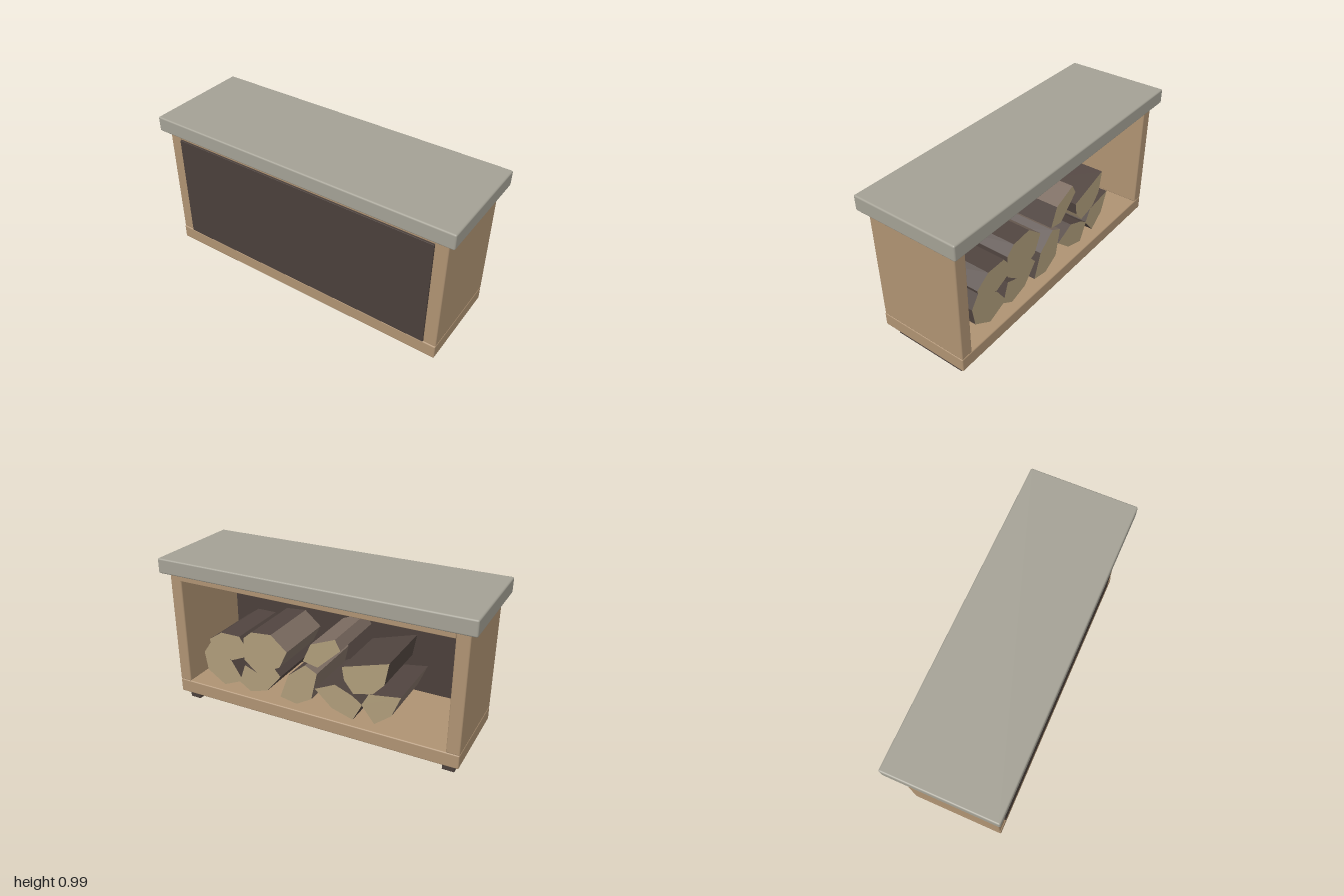
import * as THREE from 'three';
import { RoundedBoxGeometry } from 'three/addons/geometries/RoundedBoxGeometry.js';

const mat = (name, color) => Object.assign(new THREE.MeshStandardMaterial({ color }), { name });

export function createModel() {
  const stone = mat('grey stone', 0xa3a094);
  const wood = mat('oak wood', 0xae9272);
  const dark = mat('dark brown panel', 0x4a3f3a);
  const logEnd = mat('sawn log end', 0xae9c7a);
  const split = mat('pale split wood', 0xbba585);
  const brown = mat('brown split wood', 0x7c6c61);
  const bark = mat('bark', 0x50443f);

  const model = new THREE.Group();
  model.name = 'firewoodBench';

  // Softly rounded board given by its min and max corners
  const board = (name, material, x0, x1, y0, y1, z0, z1, r = 0.006) => {
    const mesh = new THREE.Mesh(new RoundedBoxGeometry(x1 - x0, y1 - y0, z1 - z0, 2, r), material);
    mesh.position.set((x0 + x1) / 2, (y0 + y1) / 2, (z0 + z1) / 2);
    mesh.name = name;
    model.add(mesh);
  };

  // Bench body, open at the back
  board('seatTop', stone, -1, 1, 0.897, 0.993, -0.342, 0.342, 0.01);
  board('basePlank', wood, -0.955, 0.955, 0.06, 0.15, -0.292, 0.305, 0.008);
  board('ceilingPlank', wood, -0.877, 0.877, 0.85, 0.9, -0.299, 0.295, 0.004);
  board('frontPanel', dark, -0.876, 0.876, 0.148, 0.85, 0.28, 0.305, 0.002);
  board('leftSide', wood, 0.875, 0.955, 0.149, 0.9, -0.292, 0.3, 0.008);
  board('rightSide', wood, -0.955, -0.875, 0.149, 0.9, -0.292, 0.3, 0.008);
  board('leftFoot', dark, 0.847, 0.922, 0, 0.065, -0.246, 0.24, 0.003);
  board('rightFoot', dark, -0.922, -0.847, 0, 0.065, -0.246, 0.24, 0.003);

  // Split logs: cross-section, then one letter per side (l pale, g brown, d bark)
  const logs = [
    [[[0.79, 0.357], [0.73, 0.444], [0.58, 0.34], [0.5, 0.217], [0.645, 0.155], [0.77, 0.235]], 'dddddd'],
    [[[0.74, 0.46], [0.645, 0.525], [0.51, 0.526], [0.465, 0.46], [0.48, 0.39], [0.58, 0.345], [0.73, 0.42]], 'llddddd'],
    [[[0.48, 0.523], [0.42, 0.575], [0.28, 0.588], [0.17, 0.496], [0.225, 0.38], [0.385, 0.295], [0.48, 0.373]], 'ddggddd'],
    [[[0.525, 0.206], [0.48, 0.335], [0.385, 0.3], [0.265, 0.367], [0.22, 0.316], [0.32, 0.194], [0.445, 0.155]], 'ddddddd'],
    [[[0.06, 0.465], [0.005, 0.588], [-0.155, 0.653], [-0.19, 0.588], [-0.04, 0.445]], 'dggdd'],
    [[[0.225, 0.176], [0.165, 0.34], [0.045, 0.44], [-0.035, 0.4], [0.005, 0.217], [0.11, 0.155]], 'dggddd'],
    [[[-0.2, 0.49], [-0.495, 0.58], [-0.47, 0.437], [-0.4, 0.36], [-0.275, 0.33], [-0.215, 0.406]], 'lddddd'],
    [[[-0.02, 0.296], [-0.155, 0.36], [-0.27, 0.315], [-0.335, 0.27], [-0.275, 0.152], [-0.135, 0.194]], 'dddddd'],
    [[[-0.33, 0.27], [-0.375, 0.352], [-0.575, 0.384], [-0.52, 0.247], [-0.415, 0.163]], 'dgddd'],
  ];
  const pile = new THREE.Group();
  pile.name = 'logPile';
  const materials = [logEnd, split, brown, bark];
  logs.forEach(([outline, sides], i) => {
    const shape = new THREE.Shape(outline.map(([x, y]) => new THREE.Vector2(x, y)));
    const geo = new THREE.ExtrudeGeometry(shape, { depth: 0.43, bevelEnabled: false });
    const [caps, walls] = geo.groups;
    const n = outline.length;
    geo.clearGroups();
    geo.addGroup(caps.start, caps.count, 0);
    // The extrusion lists its walls from the last corner back to the first
    for (let k = 0; k < n; k++) {
      geo.addGroup(walls.start + 6 * ((2 * n - 2 - k) % n), 6, 1 + 'lgd'.indexOf(sides[k]));
    }
    const log = new THREE.Mesh(geo, materials);
    log.position.z = -0.23;
    log.name = `log${i + 1}`;
    pile.add(log);
  });
  model.add(pile);
  return model;
}
